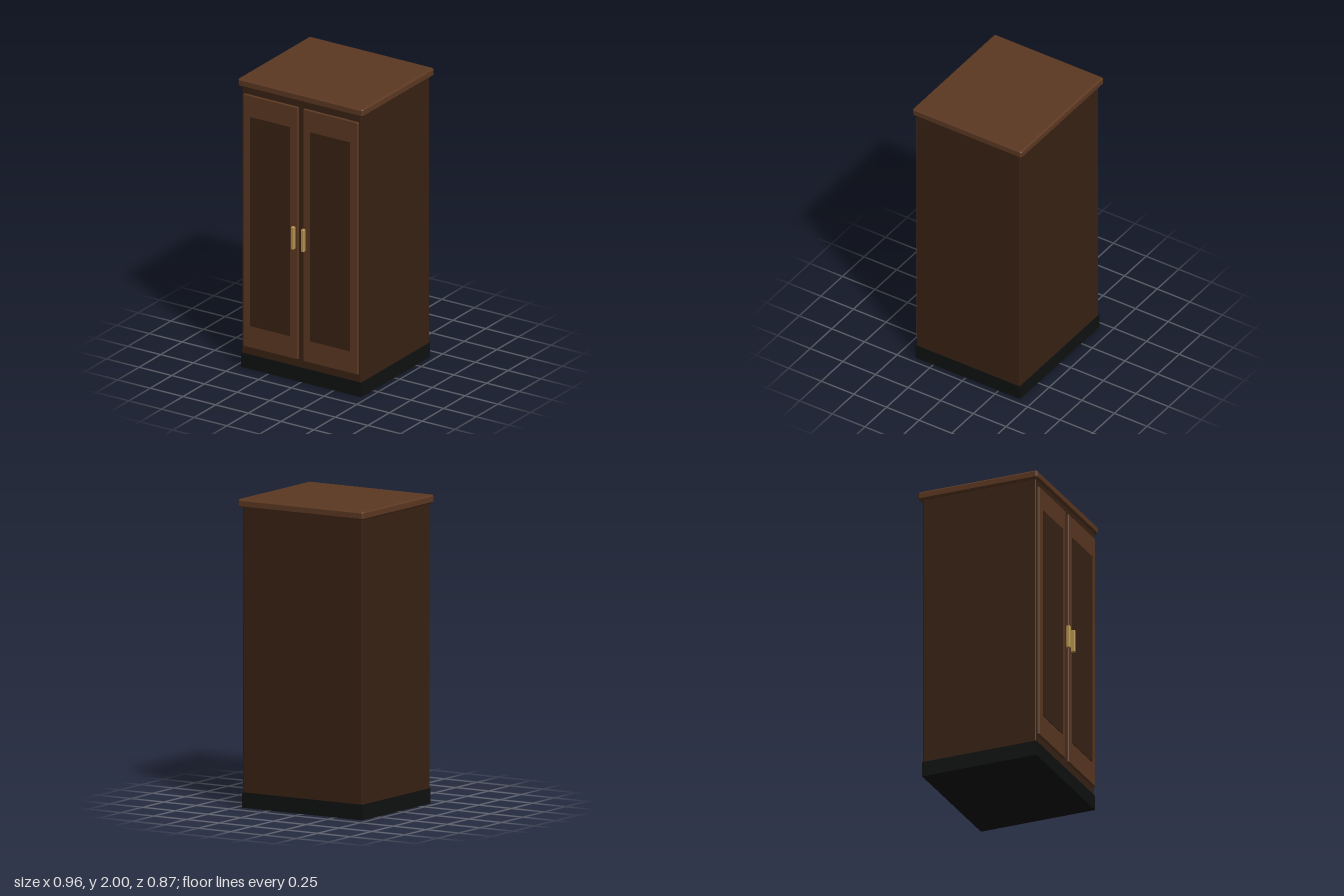
import * as THREE from 'three';
import { ConvexGeometry } from 'three/addons/geometries/ConvexGeometry.js';

const paint = (color) => new THREE.MeshStandardMaterial({ color });

// Box with every edge chamfered by b: each corner becomes three points.
function chamferBox(w, h, d, b) {
  const points = [];
  for (const sx of [-1, 1]) for (const sy of [-1, 1]) for (const sz of [-1, 1]) {
    for (let axis = 0; axis < 3; axis++) {
      const inset = [b, b, b];
      inset[axis] = 0;
      points.push(new THREE.Vector3(
        sx * (w / 2 - inset[0]), sy * (h / 2 - inset[1]), sz * (d / 2 - inset[2])));
    }
  }
  return new ConvexGeometry(points);
}

export function createModel() {
  const group = new THREE.Group();
  const wood = paint(0x5c3822);
  const darkWood = paint(0x382214);
  const brass = paint(0xb5924c);
  const black = paint(0x0f1111);

  // Block spanning the given [min, max] ranges, chamfered when b > 0.
  function block(name, material, [x0, x1], [y0, y1], [z0, z1], b = 0) {
    const size = [x1 - x0, y1 - y0, z1 - z0];
    const geometry = b ? chamferBox(...size, b) : new THREE.BoxGeometry(...size);
    const mesh = new THREE.Mesh(geometry, material);
    mesh.name = name;
    mesh.position.set((x0 + x1) / 2, (y0 + y1) / 2, (z0 + z1) / 2);
    group.add(mesh);
  }

  // Carcass, plinth and overhanging top
  block('plinth', black, [-0.459, 0.459], [0, 0.1], [-0.415, 0.385]);
  block('body', darkWood, [-0.456, 0.456], [0.05, 1.95], [-0.411, 0.381], 0.005);
  block('top', wood, [-0.478, 0.478], [1.945, 2], [-0.438, 0.4], 0.01);

  // Pair of doors, each with a centre panel and a handle near the middle
  for (const [side, s] of [['left', 1], ['right', -1]]) {
    const span = (a, b) => (s > 0 ? [a, b] : [-b, -a]);
    block(side + 'Door', wood, span(0.021, 0.438), [0.152, 1.9], [0.365, 0.396], 0.004);
    block(side + 'Panel', darkWood, span(0.078, 0.381), [0.305, 1.753], [0.38, 0.4]);
    block(side + 'Handle', brass, span(0.027, 0.05), [0.925, 1.08], [0.408, 0.435], 0.004);
  }

  return group;
}
